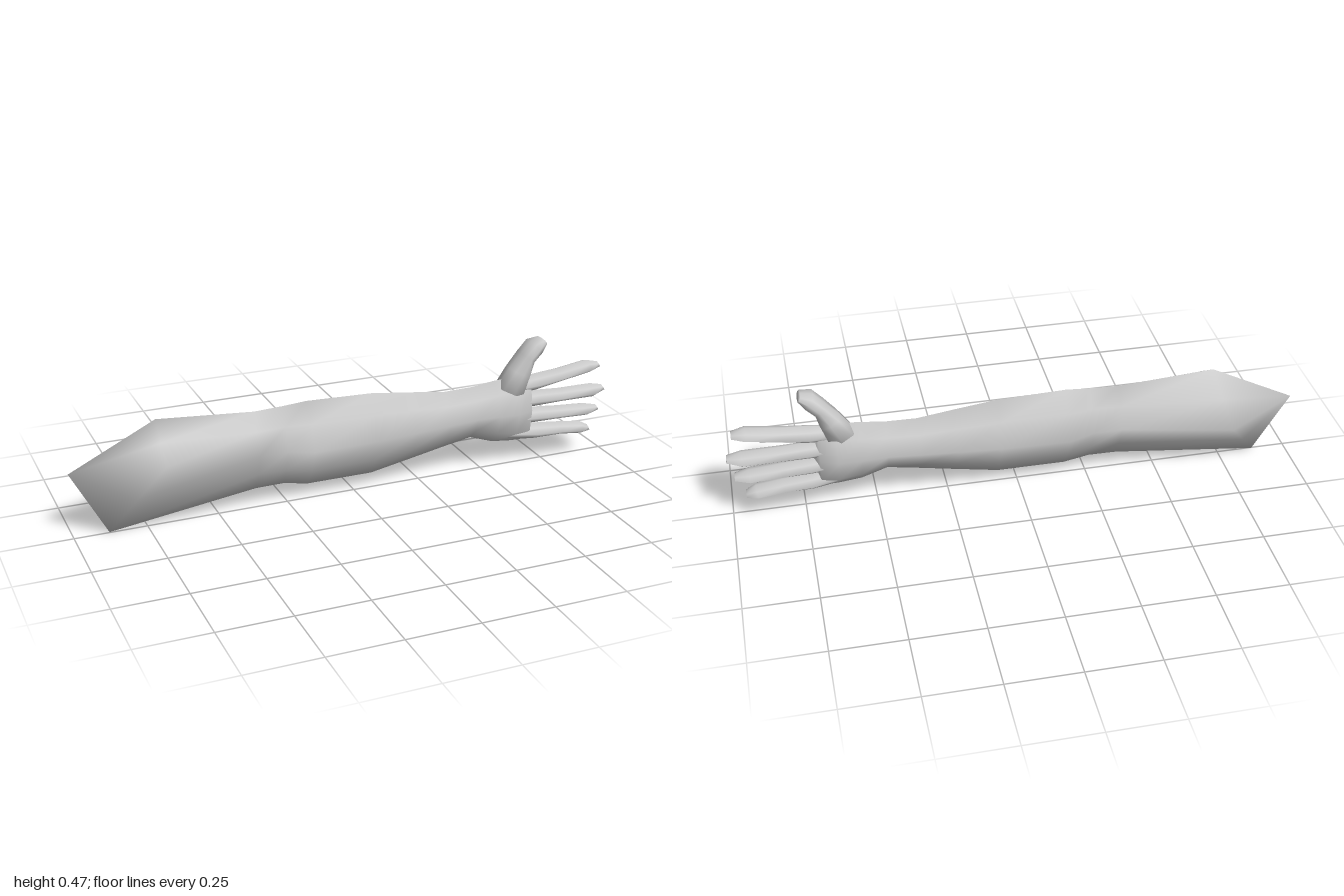
import * as THREE from 'three';

const skin = new THREE.MeshStandardMaterial({ color: 0xcccccc });
skin.name = 'plainSkin';

// Skin a list of equal-sized rings; each end closes with a fan to its apex.
function loft(name, rings, startApex, endApex) {
  const n = rings[0].length, m = rings.length, pos = [], idx = [];
  rings.flat().forEach(p => pos.push(...p));
  pos.push(...startApex, ...endApex);
  const s = n * m, e = s + 1;
  for (let j = 0; j < n; j++) {
    const k = (j + 1) % n;
    for (let i = 0; i < m - 1; i++) {
      const a = i * n + j, b = i * n + k;
      idx.push(a, b, a + n, b, b + n, a + n);
    }
    idx.push(s, k, j, (m - 1) * n + j, (m - 1) * n + k, e);
  }
  const g = new THREE.BufferGeometry();
  g.setAttribute('position', new THREE.Float32BufferAttribute(pos, 3));
  g.setIndex(idx);
  g.computeVertexNormals();
  const mesh = new THREE.Mesh(g, skin);
  mesh.name = name;
  return mesh;
}

// Eight-point ring from top, front, bottom and back; bulge 0.5 is a diamond, 1 a box.
function ring(top, front, bottom, back, bulge) {
  const c = [0, 1, 2].map(i => (top[i] + bottom[i] + front[i] + back[i]) / 4);
  const q = [top, front, bottom, back], out = [];
  q.forEach((p, i) => {
    const r = q[(i + 1) % 4];
    out.push(p, p.map((v, a) => c[a] + (v - c[a] + r[a] - c[a]) * bulge));
  });
  return out;
}

// Digit following points [x, y, half height, half depth] in the xy plane.
function digit(name, pts, bulge) {
  const z = -0.01;
  const rings = pts.map(([x, y, h, d], i) => {
    const a = pts[Math.max(i - 1, 0)], b = pts[Math.min(i + 1, pts.length - 1)];
    const l = Math.hypot(b[0] - a[0], b[1] - a[1]);
    const ux = -(b[1] - a[1]) / l * h, uy = (b[0] - a[0]) / l * h;
    return ring([x + ux, y + uy, z], [x, y, z + d], [x - ux, y - uy, z], [x, y, z - d], bulge);
  });
  const f = pts[0], t = pts[pts.length - 1];
  return loft(name, rings, [f[0], f[1], z], [t[0], t[1], z]);
}

export function createModel() {
  const group = new THREE.Group();
  group.name = 'arm';

  // Upper arm, elbow, forearm and palm: [x, top, bottom, front z, back z, side y, bulge]
  const sections = [
    [-0.36, 0.35, 0.066, 0.05, -0.08, 0.21, 0.55],
    [-0.26, 0.354, 0.067, 0.05, -0.08, 0.21, 0.56],
    [-0.17, 0.36, 0.05, 0.07, -0.1, 0.2, 0.56],
    [0.07, 0.352, 0.05, 0.065, -0.093, 0.2, 0.56],
    [0.22, 0.333, 0.078, 0.06, -0.088, 0.205, 0.57],
    [0.35, 0.315, 0.103, 0.057, -0.084, 0.21, 0.58],
    [0.46, 0.317, 0.123, 0.055, -0.08, 0.215, 0.6],
    [0.55, 0.328, 0.092, 0.052, -0.077, 0.21, 0.62],
    [0.63, 0.332, 0.083, 0.048, -0.072, 0.205, 0.66],
    [0.69, 0.325, 0.082, 0.03, -0.05, 0.205, 0.7],
  ];
  // Slanted shoulder rim tapering to a point
  const rings = [ring([-0.7, 0.375, -0.015], [-0.71, 0.267, 0.14],
    [-0.88, 0, -0.003], [-0.75, 0.193, -0.14], 0.5)];
  for (const [x, t, b, f, k, y, bulge] of sections) {
    rings.push(ring([x, t, -0.012], [x, y, f], [x, b, -0.01], [x, y, k], bulge));
  }
  group.add(loft('armAndPalm', rings, [-1, 0.225, -0.02], [0.71, 0.205, -0.01]));

  // Fingers
  const fingers = {
    indexFinger: [[0.6, 0.29, 0.03, 0.03], [0.72, 0.302, 0.033, 0.045], [0.82, 0.315, 0.026, 0.047],
      [0.93, 0.332, 0.024, 0.047], [0.975, 0.333, 0.011, 0.025]],
    middleFinger: [[0.6, 0.235, 0.03, 0.03], [0.72, 0.237, 0.032, 0.045], [0.82, 0.235, 0.027, 0.047],
      [0.95, 0.234, 0.027, 0.047], [1, 0.238, 0.012, 0.025]],
    ringFinger: [[0.6, 0.175, 0.03, 0.03], [0.72, 0.172, 0.031, 0.045], [0.82, 0.167, 0.026, 0.047],
      [0.93, 0.161, 0.023, 0.047], [0.98, 0.161, 0.011, 0.025]],
    littleFinger: [[0.6, 0.122, 0.03, 0.03], [0.72, 0.108, 0.031, 0.045], [0.82, 0.103, 0.025, 0.047],
      [0.91, 0.092, 0.024, 0.047], [0.947, 0.084, 0.012, 0.025]],
  };
  for (const [name, pts] of Object.entries(fingers)) group.add(digit(name, pts, 0.57));

  // Thumb
  group.add(digit('thumb', [[0.61, 0.28, 0.055, 0.045], [0.645, 0.35, 0.04, 0.047],
    [0.675, 0.405, 0.025, 0.047], [0.708, 0.44, 0.026, 0.047], [0.74, 0.458, 0.012, 0.032]], 0.8));
  return group;
}
